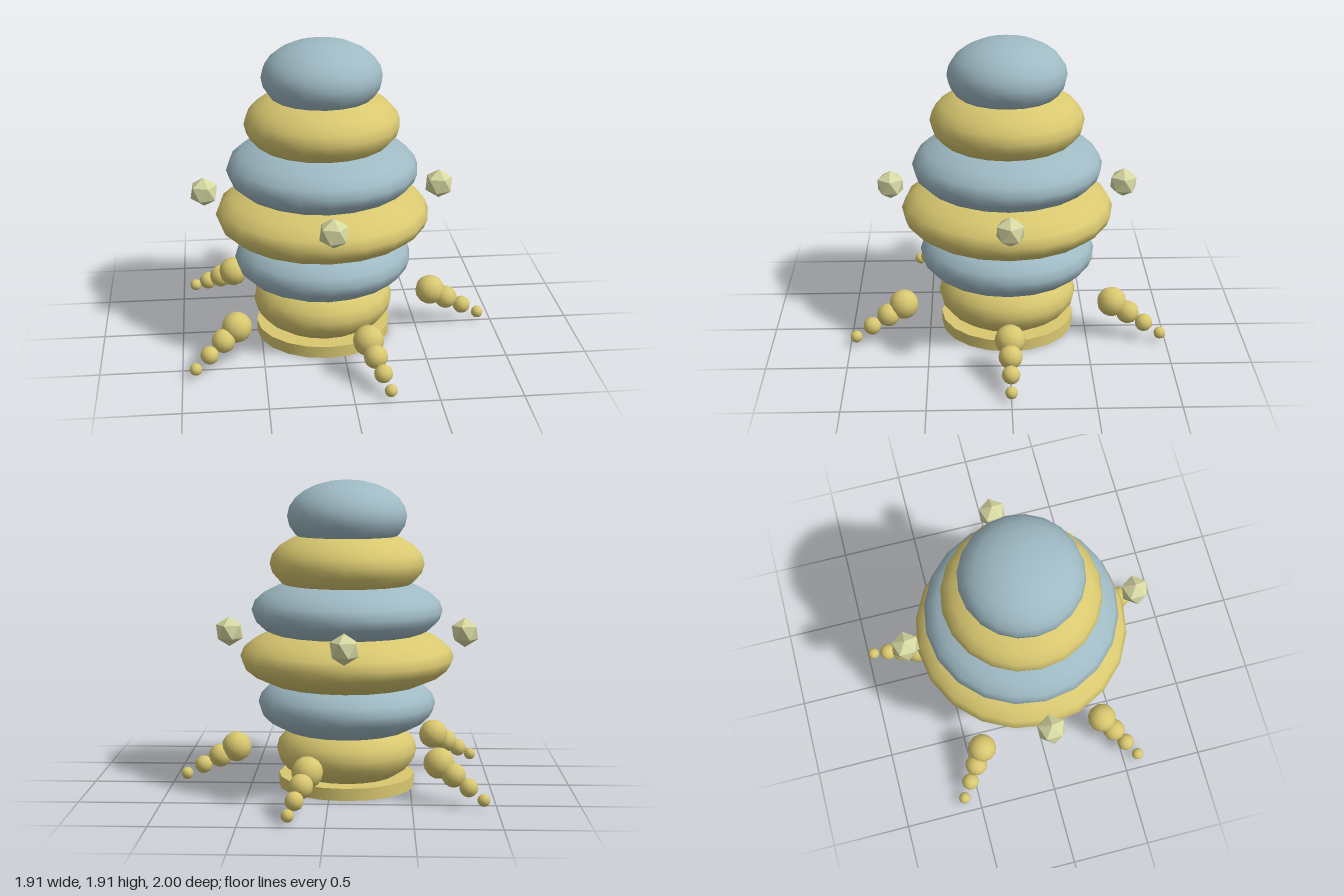
import * as THREE from 'three';

const material = (name, color, flatShading = false) => {
  const m = new THREE.MeshStandardMaterial({ color, flatShading });
  m.name = name;
  return m;
};

export function createModel() {
  const gold = material('gold', 0xd9c870);
  const blue = material('greyBlue', 0x9fbac4);
  const pale = material('paleYellow', 0xd6d8a2, true);

  const model = new THREE.Group();
  model.name = 'layeredTower';

  // Everything is arranged around the tower axis
  const tower = new THREE.Group();
  tower.name = 'tower';
  tower.position.x = -0.1;
  model.add(tower);

  const add = (parent, name, geometry, mat, x, y, z) => {
    const mesh = new THREE.Mesh(geometry, mat);
    mesh.name = name;
    mesh.position.set(x, y, z);
    parent.add(mesh);
    return mesh;
  };

  // Round base plate
  add(tower, 'basePlate', new THREE.CylinderGeometry(0.425, 0.425, 0.075, 20), gold, 0, 0.0375, 0);

  // Stack of squashed spheres in alternating colours
  const layerRadii = [0.44, 0.555, 0.667, 0.595, 0.48, 0.37];
  layerRadii.forEach((r, i) => {
    const layer = new THREE.SphereGeometry(1, 20, 12).scale(r, 0.225, r);
    add(tower, 'layer' + (i + 1), layer, i % 2 ? blue : gold, 0, 0.235 + i * 0.291, 0);
  });

  // Five beaded legs: distance from axis, height, radius
  const beads = [
    [0.696, 0.235, 0.094],
    [0.8, 0.177, 0.073],
    [0.907, 0.117, 0.056],
    [1.012, 0.059, 0.038],
  ];
  for (let i = 0; i < 5; i++) {
    const leg = new THREE.Group();
    leg.name = 'leg' + (i + 1);
    leg.rotation.y = (i * Math.PI * 2) / 5;
    beads.forEach(([d, y, r], j) => {
      add(leg, 'legBead' + (j + 1), new THREE.SphereGeometry(r, 12, 8), gold, d, y, 0);
    });
    tower.add(leg);
  }

  // Four floating faceted gems, each with a corner pointing straight up
  const tilt = Math.atan2(1, (1 + Math.sqrt(5)) / 2);
  const gem = new THREE.IcosahedronGeometry(0.093, 0).rotateZ(-tilt);
  [[1, 0], [0, 1], [-1, 0], [0, -1]].forEach(([x, z], i) => {
    add(tower, 'gem' + (i + 1), gem, pale, x * 0.735, 0.97, z * 0.735);
  });

  return model;
}
